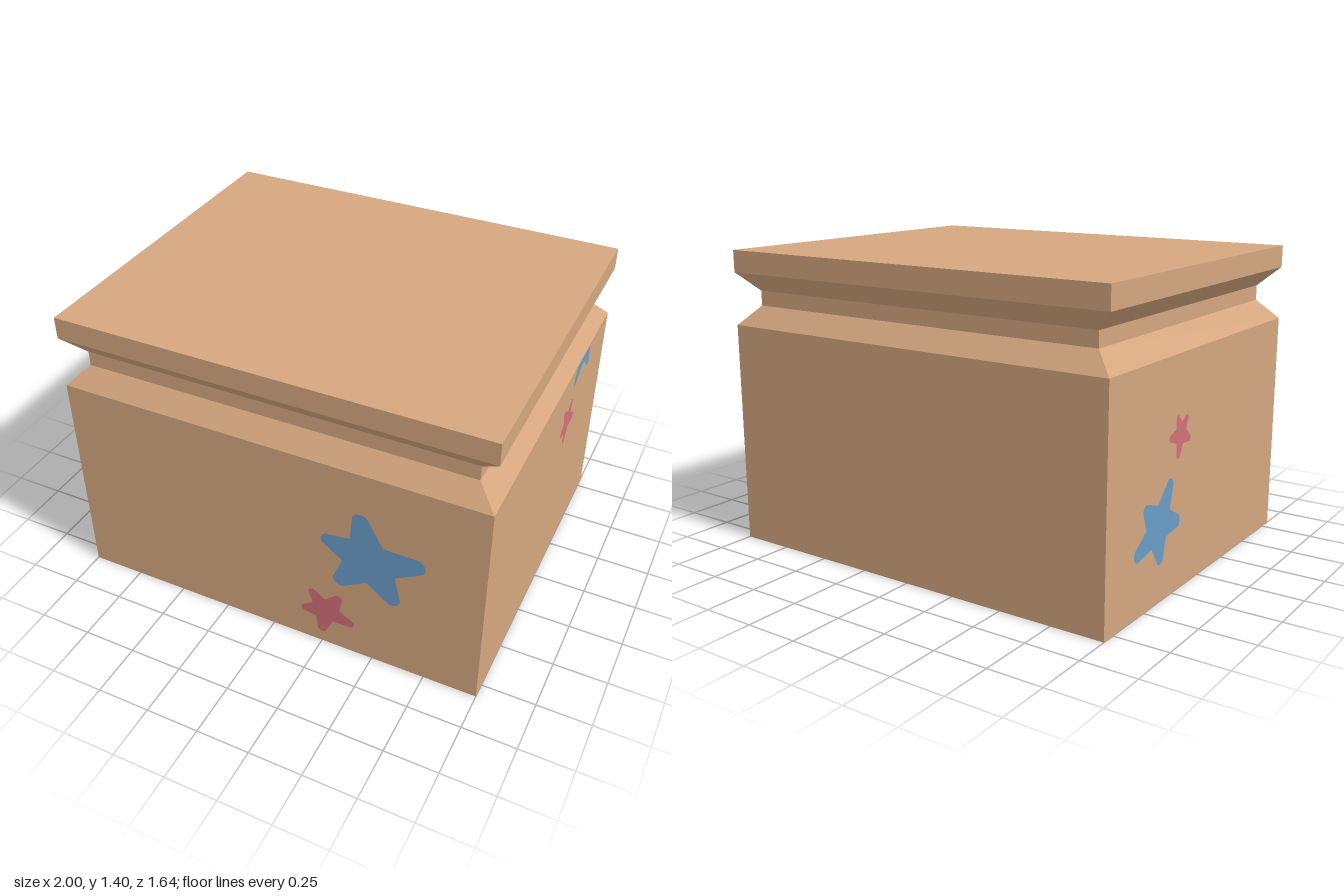
import * as THREE from 'three';

const HALF_Z = 0.82;

// Star outline with rounded arms, from five tips listed clockwise
function starShape(tips, innerRatio = 0.62) {
  const pts = tips.map(([x, y]) => new THREE.Vector2(x, y));
  const centre = pts.reduce((sum, p) => sum.add(p), new THREE.Vector2()).divideScalar(pts.length);
  const shape = new THREE.Shape();
  pts.forEach((tip, i) => {
    const dir = tip.clone().sub(centre);
    const size = dir.length();
    dir.normalize();
    const side = new THREE.Vector2(dir.y, -dir.x);
    const w = size * 0.14;
    const neck = tip.clone().addScaledVector(dir, -w * 0.9);
    const a = neck.clone().addScaledVector(side, -w);
    const b = neck.clone().addScaledVector(side, w);
    const c1 = tip.clone().addScaledVector(side, -w * 0.9);
    const c2 = tip.clone().addScaledVector(side, w * 0.9);
    const inner = tip.clone().add(pts[(i + 1) % 5]).multiplyScalar(0.5).sub(centre).multiplyScalar(innerRatio).add(centre);
    if (i === 0) shape.moveTo(a.x, a.y);
    else shape.lineTo(a.x, a.y);
    shape.bezierCurveTo(c1.x, c1.y, c2.x, c2.y, b.x, b.y);
    shape.lineTo(inner.x, inner.y);
  });
  shape.closePath();
  return shape;
}

export function createModel() {
  const model = new THREE.Group();
  const tan = new THREE.MeshStandardMaterial({ color: 0xd4a67f });
  const blue = new THREE.MeshStandardMaterial({ color: 0x699dc6 });
  const pink = new THREE.MeshStandardMaterial({ color: 0xd27078 });

  // Four-sided box body with a recessed neck and flared lid
  const profile = [[0, 0], [1, 0], [1, 1.05], [0.909, 1.14], [0.909, 1.21], [1, 1.297], [1, 1.4], [0, 1.4]]
    .map(([r, y]) => new THREE.Vector2(r * Math.SQRT2, y));
  const bodyGeometry = new THREE.LatheGeometry(profile, 4, Math.PI / 4).toNonIndexed();
  bodyGeometry.scale(1, 1, HALF_Z);
  bodyGeometry.computeVertexNormals();
  const body = new THREE.Mesh(bodyGeometry, tan);
  body.name = 'box';
  model.add(body);

  // Painted stars, drawn in each wall's own plane (u to the right, y up)
  const walls = {
    front: { angle: 0, distance: HALF_Z },
    right: { angle: Math.PI / 2, distance: 1 },
    left: { angle: -Math.PI / 2, distance: 1 },
  };
  function addDecal(name, wall, shape, material) {
    const { angle, distance } = walls[wall];
    const geometry = new THREE.ShapeGeometry(shape, 6);
    geometry.translate(0, 0, distance + 0.002);
    geometry.rotateY(angle);
    const mesh = new THREE.Mesh(geometry, material);
    mesh.name = name;
    model.add(mesh);
  }

  addDecal('frontBlueStar', 'front',
    starShape([[0.433, 0.85], [0.742, 0.665], [0.615, 0.383], [0.32, 0.4], [0.25, 0.653]]), blue);
  addDecal('frontPinkStar', 'front',
    starShape([[0.193, 0.315], [0.347, 0.322], [0.415, 0.168], [0.248, 0.06], [0.145, 0.172]]), pink);
  addDecal('rightPinkStar', 'right',
    starShape([[0.16, 0.882], [0.281, 0.889], [0.338, 0.758], [0.203, 0.673], [0.123, 0.76]]), pink);
  addDecal('leftBlueStar', 'left',
    starShape([[-0.28, 0.53], [-0.19, 0.315], [-0.365, 0.165], [-0.6, 0.26], [-0.525, 0.465]]), blue);
  addDecal('leftPinkStar', 'left',
    starShape([[-0.15, 0.775], [-0.12, 0.66], [-0.235, 0.595], [-0.32, 0.7], [-0.25, 0.79]]), pink);

  // Star cut off by the upper edge of the right wall
  const cutStar = new THREE.Shape();
  cutStar.moveTo(0.297, 1.05);
  cutStar.lineTo(0.265, 0.975);
  cutStar.quadraticCurveTo(0.265, 0.945, 0.31, 0.965);
  cutStar.quadraticCurveTo(0.365, 1.005, 0.4, 1.013);
  cutStar.quadraticCurveTo(0.435, 1.0, 0.475, 0.955);
  cutStar.quadraticCurveTo(0.512, 0.928, 0.512, 0.965);
  cutStar.lineTo(0.502, 1.05);
  addDecal('rightBlueStar', 'right', cutStar, blue);

  return model;
}
